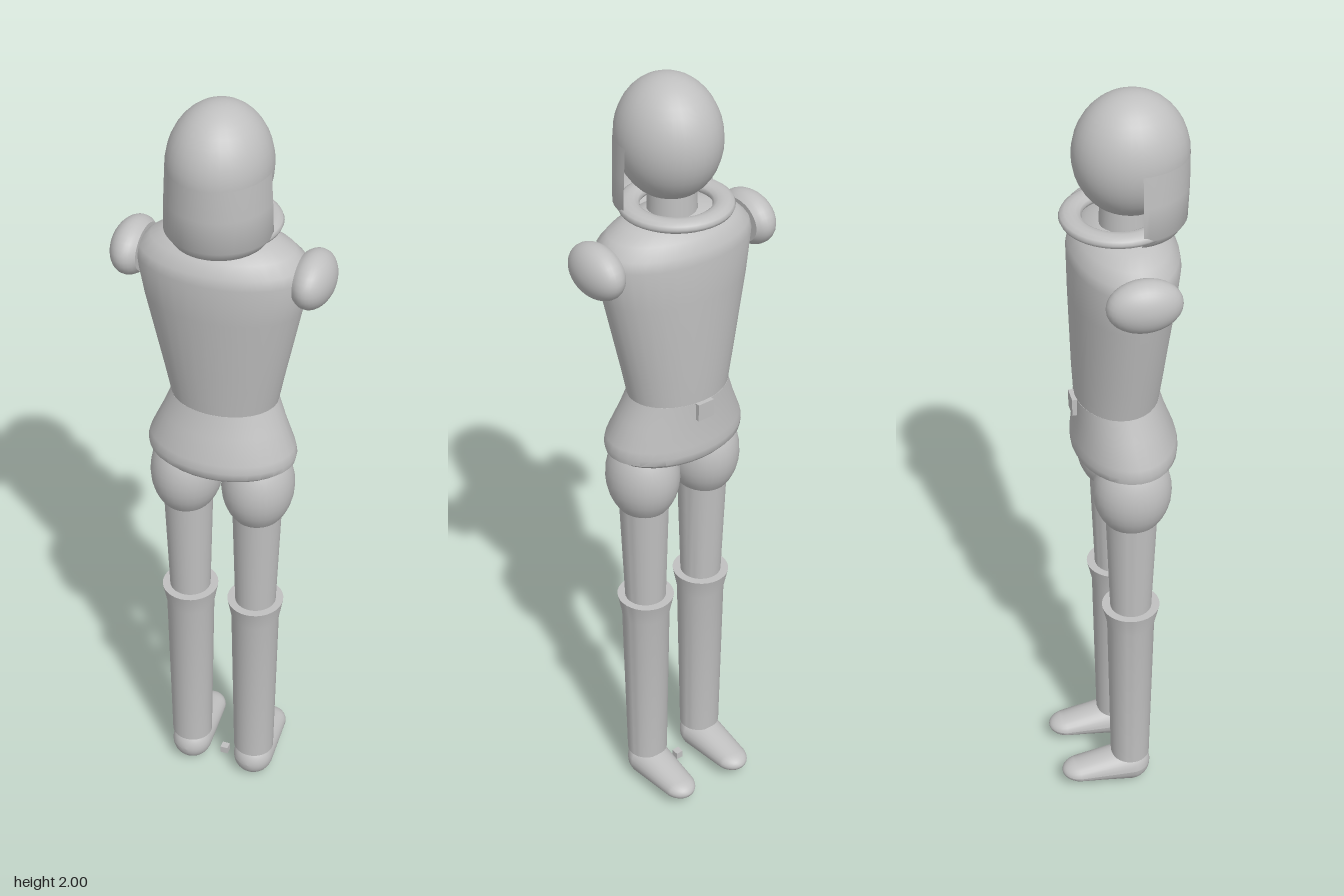
import * as THREE from 'three';
import { toCreasedNormals } from 'three/addons/utils/BufferGeometryUtils.js';

const clay = new THREE.MeshStandardMaterial({ color: 0xc0c0c0, side: THREE.DoubleSide });
clay.name = 'light grey';

// Skin over elliptical rings [y, rx, rz, cx, cz], listed from bottom to top
function loft(rings, start = 0, arc = Math.PI * 2, n = 32) {
  const pos = [], idx = [];
  rings.forEach(([y, rx, rz, cx = 0, cz = 0], r) => {
    for (let i = 0; i <= n; i++) {
      const a = start + (arc * i) / n;
      pos.push(cx + rx * Math.sin(a), y, cz + rz * Math.cos(a));
      if (r === 0 || i === n) continue;
      const p = (r - 1) * (n + 1) + i, q = p + n + 1;
      idx.push(p, p + 1, q + 1, p, q + 1, q);
    }
  });
  const g = new THREE.BufferGeometry();
  g.setAttribute('position', new THREE.Float32BufferAttribute(pos, 3));
  g.setIndex(idx);
  return toCreasedNormals(g, 0.7);
}

// Heel ball stretched into a narrower, flatter toe towards -z
function footGeometry() {
  const g = new THREE.SphereGeometry(0.053, 24, 16).rotateX(Math.PI / 2);
  const p = g.attributes.position;
  for (let i = 0; i < p.count; i++) {
    if (p.getZ(i) < -0.001) {
      p.setXYZ(i, p.getX(i) * 0.83, p.getY(i) * 0.5 - 0.004, p.getZ(i) - 0.132);
    }
  }
  g.computeVertexNormals();
  return g;
}

export function createModel() {
  const model = new THREE.Group();
  model.name = 'figure';
  const add = (name, geometry, x = 0, y = 0, z = 0) => {
    const m = new THREE.Mesh(geometry, clay);
    m.name = name;
    m.position.set(x, y, z);
    model.add(m);
    return m;
  };

  // Head, half-shell of hair on the +z side, neck and collar
  add('head', new THREE.SphereGeometry(1, 32, 20), 0, 1.855, 0.033).scale.set(0.119, 0.145, 0.132);
  add('hair', loft([
    [1.662, 0.001, 0.001, 0, 0.033], [1.664, 0.075, 0.08, 0, 0.033],
    [1.675, 0.108, 0.112, 0, 0.033], [1.7, 0.126, 0.128, 0, 0.033],
    [1.78, 0.123, 0.132, 0, 0.033], [1.855, 0.119, 0.132, 0, 0.033],
  ], -Math.PI / 2, Math.PI));
  add('neck', new THREE.CylinderGeometry(0.055, 0.06, 0.14, 24), 0, 1.71, 0.02);
  const collar = add('collar', new THREE.TorusGeometry(0.108, 0.026, 12, 40).rotateX(Math.PI / 2), 0, 1.7, 0.005);
  collar.scale.y = 0.6;

  // Tapered torso with a domed shoulder line
  add('torso', loft([
    [1.22, 0.001, 0.001], [1.22, 0.13, 0.1], [1.3, 0.146, 0.107, 0, 0.003],
    [1.5, 0.189, 0.121, 0, 0.012], [1.6, 0.206, 0.126, 0, 0.016],
    [1.625, 0.198, 0.122, 0, 0.016], [1.652, 0.17, 0.103, 0, 0.016],
    [1.672, 0.13, 0.08, 0, 0.016], [1.685, 0.08, 0.05, 0, 0.016], [1.69, 0.001, 0.001, 0, 0.016],
  ]));

  // Flared skirt with rolled hem and shallow underside
  add('skirt', loft([
    [1.03, 0.001, 0.001, 0, 0.018], [1.06, 0.165, 0.115, 0, 0.018],
    [1.073, 0.182, 0.126, 0, 0.018], [1.09, 0.185, 0.127, 0, 0.018],
    [1.11, 0.18, 0.124, 0, 0.017], [1.17, 0.153, 0.11, 0, 0.008],
    [1.225, 0.131, 0.101], [1.226, 0.001, 0.001],
  ]));
  add('buckle', new THREE.BoxGeometry(0.045, 0.045, 0.016), 0, 1.203, -0.103);

  for (const s of [-1, 1]) {
    const side = s > 0 ? 'left' : 'right';

    // Shoulder cap: flattened ball cut flat on its inner face
    const cut = 2.2, profile = [new THREE.Vector2(0, Math.cos(cut))];
    for (let i = 0; i <= 14; i++) {
      const a = cut * (1 - i / 14);
      profile.push(new THREE.Vector2(Math.sin(a), Math.cos(a)));
    }
    const cap = toCreasedNormals(new THREE.LatheGeometry(profile, 28), 0.7).rotateZ(-s * Math.PI / 2);
    add(side + 'Shoulder', cap, s * 0.215, 1.595, 0.014).scale.set(0.05, 0.064, 0.087);

    // Puffed thigh, truncated where the leg emerges
    const thigh = [[0.9, 0.001, 0.001, s * 0.092, 0.019]];
    for (let i = 0; i <= 12; i++) {
      const a = -0.82 + (i / 12) * (0.82 + Math.PI / 2 - 0.01);
      const r = Math.cos(a);
      thigh.push([0.99 + Math.sin(a) * 0.123, r * 0.089, r * 0.096, s * 0.092, 0.019]);
    }
    add(side + 'Thigh', loft(thigh));

    // Leg and cuffed boot
    add(side + 'Leg', loft([
      [0.56, 0.05, 0.05, s * 0.088, 0.018], [0.92, 0.061, 0.064, s * 0.09, 0.018],
    ]));
    add(side + 'Boot', loft([
      [0.095, 0.001, 0.001, s * 0.088, 0.018], [0.095, 0.053, 0.051, s * 0.088, 0.018],
      [0.56, 0.061, 0.06, s * 0.088, 0.018], [0.617, 0.071, 0.073, s * 0.088, 0.018],
      [0.617, 0.05, 0.05, s * 0.088, 0.018],
    ]));
    add(side + 'Foot', footGeometry(), s * 0.088, 0.056, 0.018);
  }

  // Small block at the base between the feet
  add('baseBlock', new THREE.BoxGeometry(0.02, 0.02, 0.02), 0, 0.026, 0);
  return model;
}
